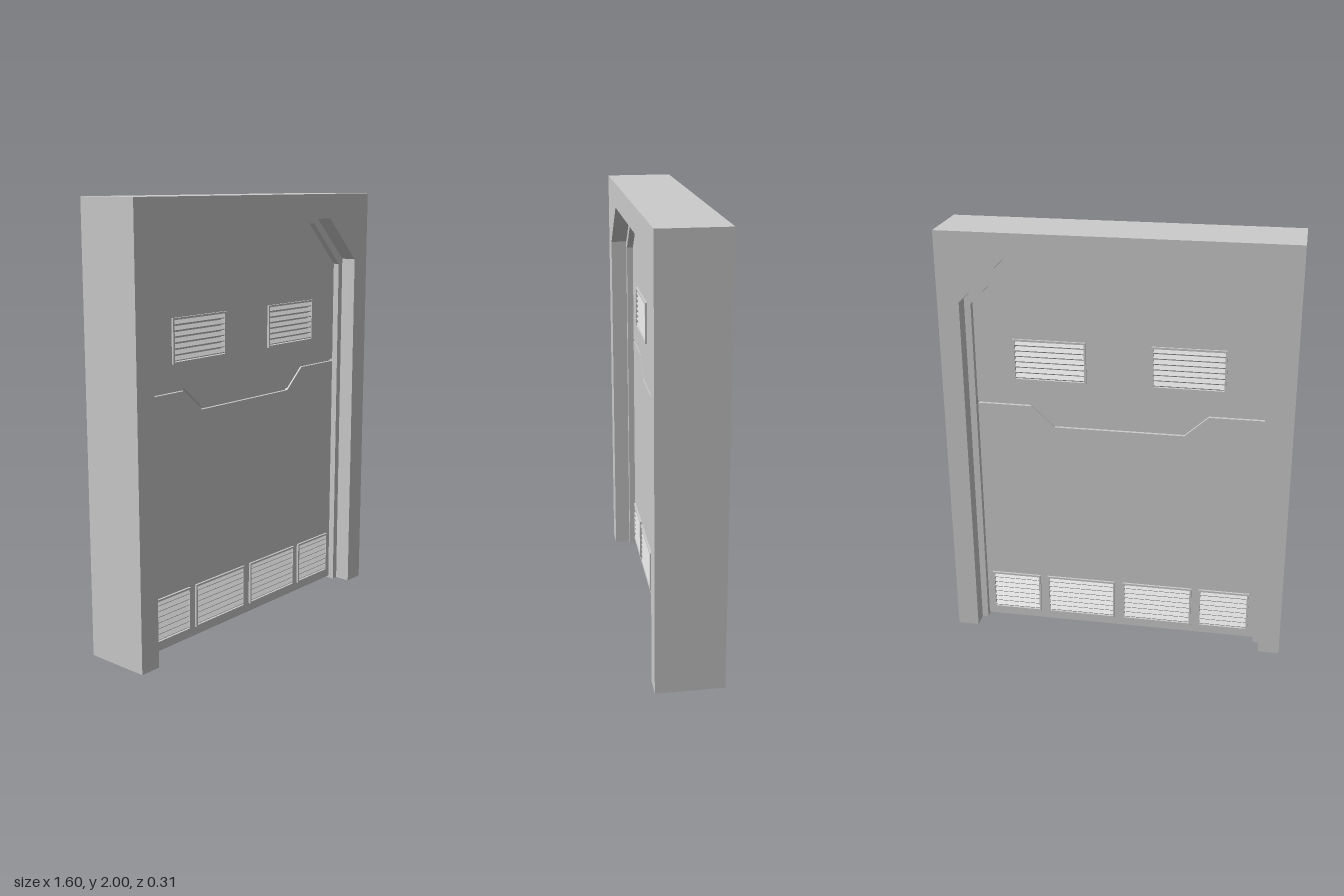
import * as THREE from 'three';

const material = new THREE.MeshStandardMaterial({ color: 0xcccccc, flatShading: true });

function add(parent, name, geometry) {
  const mesh = new THREE.Mesh(geometry, material);
  mesh.name = name;
  parent.add(mesh);
  return mesh;
}

// Shape from [x, y] corners
const outline = (pts) => new THREE.Shape(pts.map(([x, y]) => new THREE.Vector2(x, y)));

// Flat extrusion between two depths
function slab(shape, z0, z1) {
  return new THREE.ExtrudeGeometry(shape, { depth: z1 - z0, bevelEnabled: false }).translate(0, 0, z0);
}

// Door opening with cut upper corners, from lower left over the top to lower right
function arch(halfWidth, shoulder, halfTop, top, bottom) {
  return [[-halfWidth, bottom], [-halfWidth, shoulder], [-halfTop, top],
    [halfTop, top], [halfWidth, shoulder], [halfWidth, bottom]];
}

const rect = (x0, y0, x1, y1) => [[x0, y0], [x1, y0], [x1, y1], [x0, y1]];

// Vents: [x0, y0, x1, y1]
const upperVents = [[-0.49, 1.29, -0.15, 1.49], [0.15, 1.29, 0.49, 1.49]];
const lowerVents = [[-0.64, 0.05, -0.395, 0.255], [-0.36, 0.05, -0.02, 0.255],
  [0.02, 0.05, 0.36, 0.255], [0.395, 0.05, 0.64, 0.255]];

const CORE = 0.035, FACE = 0.05, BORDER = 0.009;

// Rim and tilted slats
function makeVent([x0, y0, x1, y1]) {
  const vent = new THREE.Group();
  vent.name = 'vent';
  const rim = outline(rect(x0, y0, x1, y1));
  rim.holes.push(outline(rect(x0 + BORDER, y0 + BORDER, x1 - BORDER, y1 - BORDER)));
  add(vent, 'ventRim', slab(rim, CORE, 0.06));
  const count = 7, pitch = (y1 - y0 - 2 * BORDER) / count;
  for (let i = 0; i < count; i++) {
    const slat = add(vent, 'ventSlat', new THREE.BoxGeometry(x1 - x0 - 2 * BORDER, 0.006, 0.024));
    slat.position.set((x0 + x1) / 2, y0 + BORDER + pitch * (i + 0.5), 0.047);
    slat.rotation.x = 0.65;
  }
  return vent;
}

// Upper and lower skins with a narrow stepped seam between them, plus the vents
function makeDoorFace() {
  const face = new THREE.Group();
  face.name = 'doorFace';
  const seam = (dy) => [[-0.68, 1.17], [-0.415, 1.17], [-0.305, 1.07],
    [0.305, 1.07], [0.415, 1.17], [0.68, 1.17]].map(([x, y]) => [x, y + dy]);
  const top = arch(0.68, 1.66, 0.47, 1.87, 0).slice(1, 5);

  const upper = outline([...seam(0.006), ...top.reverse()]);
  const lower = outline([[-0.68, 0.01], [0.68, 0.01], ...seam(-0.006).reverse()]);
  upperVents.forEach((v) => upper.holes.push(outline(rect(...v))));
  lowerVents.forEach((v) => lower.holes.push(outline(rect(...v))));
  add(face, 'upperPanel', slab(upper, CORE, FACE));
  add(face, 'lowerPanel', slab(lower, CORE, FACE));
  [...upperVents, ...lowerVents].forEach((v) => face.add(makeVent(v)));
  return face;
}

export function createModel() {
  const model = new THREE.Group();
  model.name = 'door';

  // Outer frame and recessed inner liner
  const outer = arch(0.7, 1.68, 0.49, 1.885, 0);
  const inner = arch(0.67, 1.655, 0.465, 1.86, 0);
  const frame = outline([[-0.8, 0], ...outer, [0.8, 0], [0.8, 2], [-0.8, 2]]);
  add(model, 'frame', slab(frame, -0.155, 0.155));
  add(model, 'frameLiner', slab(outline([...outer, ...inner.reverse()]), -0.08, 0.08));

  // Door leaf, alike on both sides
  add(model, 'doorCore', slab(outline(arch(0.68, 1.66, 0.47, 1.87, 0.01)), -CORE, CORE));
  const front = makeDoorFace();
  const back = makeDoorFace();
  back.rotation.y = Math.PI;
  model.add(front, back);
  return model;
}
